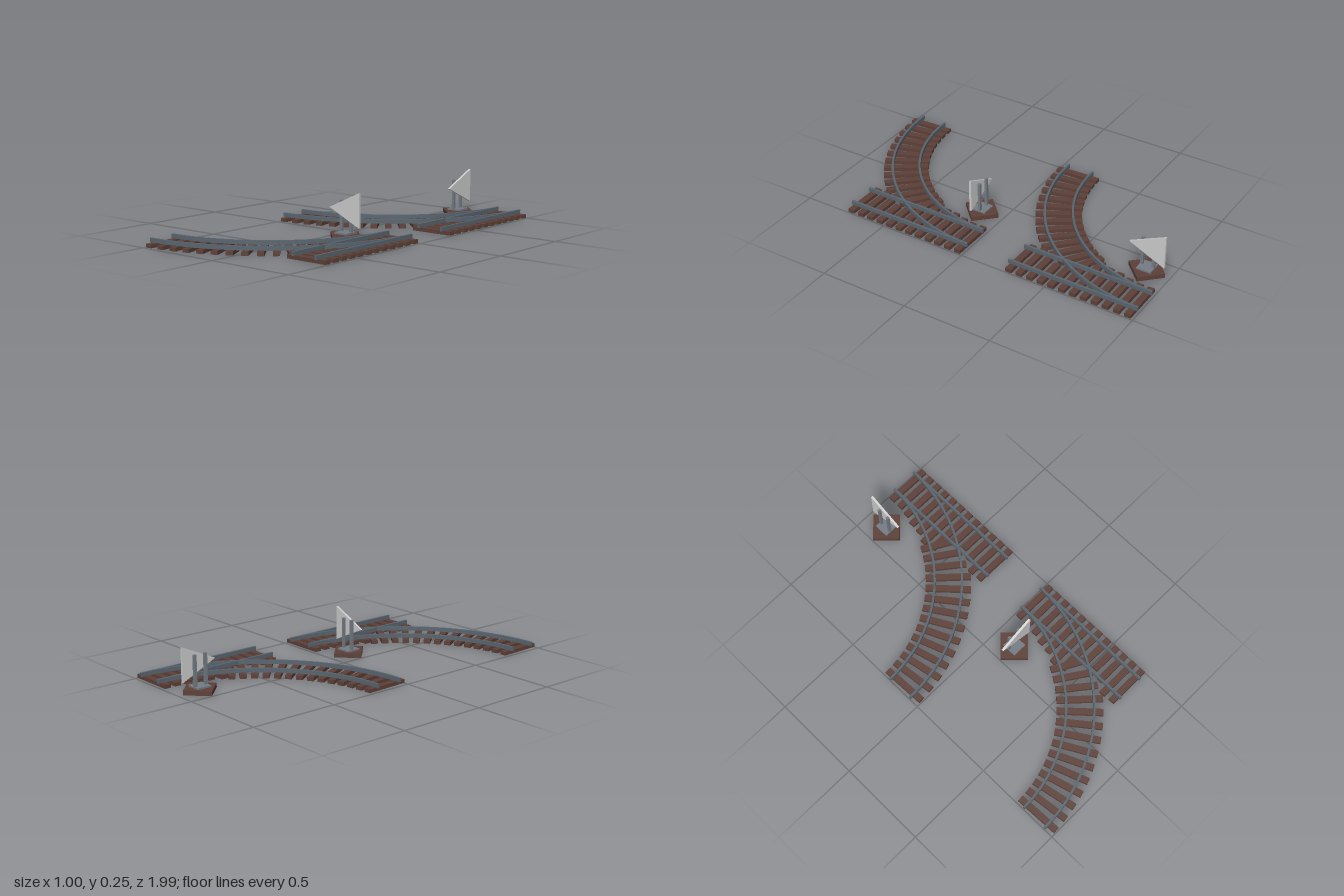
import * as THREE from 'three';

const mat = (name, color) => Object.assign(new THREE.MeshStandardMaterial({ color }), { name });

export function createModel() {
  const wood = mat('sleeper brown', 0x5d4038);
  const steel = mat('rail steel', 0x59656f);
  const grey = mat('post grey', 0x757c84);
  const pale = mat('sign pale grey', 0xcccccc);

  const add = (parent, name, geometry, material) => {
    const mesh = new THREE.Mesh(geometry, material);
    mesh.name = name;
    parent.add(mesh);
    return mesh;
  };
  const box = (parent, name, material, w, h, d, x, y, z) => {
    const mesh = add(parent, name, new THREE.BoxGeometry(w, h, d), material);
    mesh.position.set(x, y, z);
    return mesh;
  };

  const CX = -0.5; // centre of the curve, at z = 0 of each turnout
  const RAIL_W = 0.012, RAIL_TOP = 0.045, RAIL_H = 0.023;

  // Curved rail: quarter ring laid flat
  const curvedRail = (parent, r) => {
    const a = r - RAIL_W / 2, b = r + RAIL_W / 2;
    const s = new THREE.Shape();
    s.absarc(0, 0, b, 0, Math.PI / 2, false);
    s.absarc(0, 0, a, Math.PI / 2, 0, true);
    const g = new THREE.ExtrudeGeometry(s, { depth: RAIL_H, bevelEnabled: false, curveSegments: 20 });
    g.rotateX(Math.PI / 2);
    add(parent, 'curvedRail', g, steel).position.set(CX, RAIL_TOP, 0);
  };

  const turnout = () => {
    const g = new THREE.Group();
    g.name = 'turnout';
    // Straight sleepers, lengthened or shortened where the branch joins
    const starts = [0.245, 0.245, 0.235, 0.217, 0.21, 0.185, 0.2, 0.3, 0.32, 0.29, 0.245, 0.25];
    starts.forEach((x0, i) =>
      box(g, 'straightSleeper', wood, 0.497 - x0, 0.021, 0.036, (0.497 + x0) / 2, 0.0135, 0.03 + i * 0.0624));
    // Branch sleepers fan around the curve centre
    for (let i = 0; i < 14; i++) {
      const t = THREE.MathUtils.degToRad(2.25 + i * 4.5);
      const outer = i < 11 ? 0.995 : [0.975, 0.96, 0.94][i - 11];
      const r = (0.745 + outer) / 2;
      box(g, 'branchSleeper', wood, 0.036, 0.02, outer - 0.745,
        CX + r * Math.sin(t), 0.0132, r * Math.cos(t)).rotation.y = t;
    }
    // Rails
    for (const x of [0.295, 0.445]) {
      box(g, 'straightRail', steel, RAIL_W, RAIL_H, 0.745, x, RAIL_TOP - RAIL_H / 2 - 0.0003, 0.3725);
      curvedRail(g, x - CX);
    }
    return g;
  };

  // Signal on a diamond base; its arrow points to -x
  const signal = () => {
    const g = new THREE.Group();
    g.name = 'signal';
    box(g, 'signalBase', wood, 0.148, 0.024, 0.148, 0, 0.012, 0).rotation.y = Math.PI / 4;
    box(g, 'signalPlate', grey, 0.083, 0.01, 0.083, 0, 0.028, 0);
    for (const x of [-0.0325, 0.0325])
      box(g, 'signalPost', grey, 0.016, 0.17, 0.014, x, 0.115, -0.007);
    const s = new THREE.Shape();
    s.moveTo(-0.1, 0.157);
    s.lineTo(0.102, 0.063);
    s.lineTo(0.102, 0.25);
    add(g, 'signalArrow', new THREE.ExtrudeGeometry(s, { depth: 0.013, bevelEnabled: false }), pale);
    return g;
  };

  const model = new THREE.Group();
  model.name = 'railwayTurnouts';
  // Two identical turnouts, the rear signal turned a quarter
  [0, -1].forEach((z, i) => {
    const t = turnout();
    t.position.z = z;
    const s = signal();
    s.position.set(0.108, 0, 0.13);
    s.rotation.y = i * Math.PI / 2;
    t.add(s);
    model.add(t);
  });
  return model;
}
